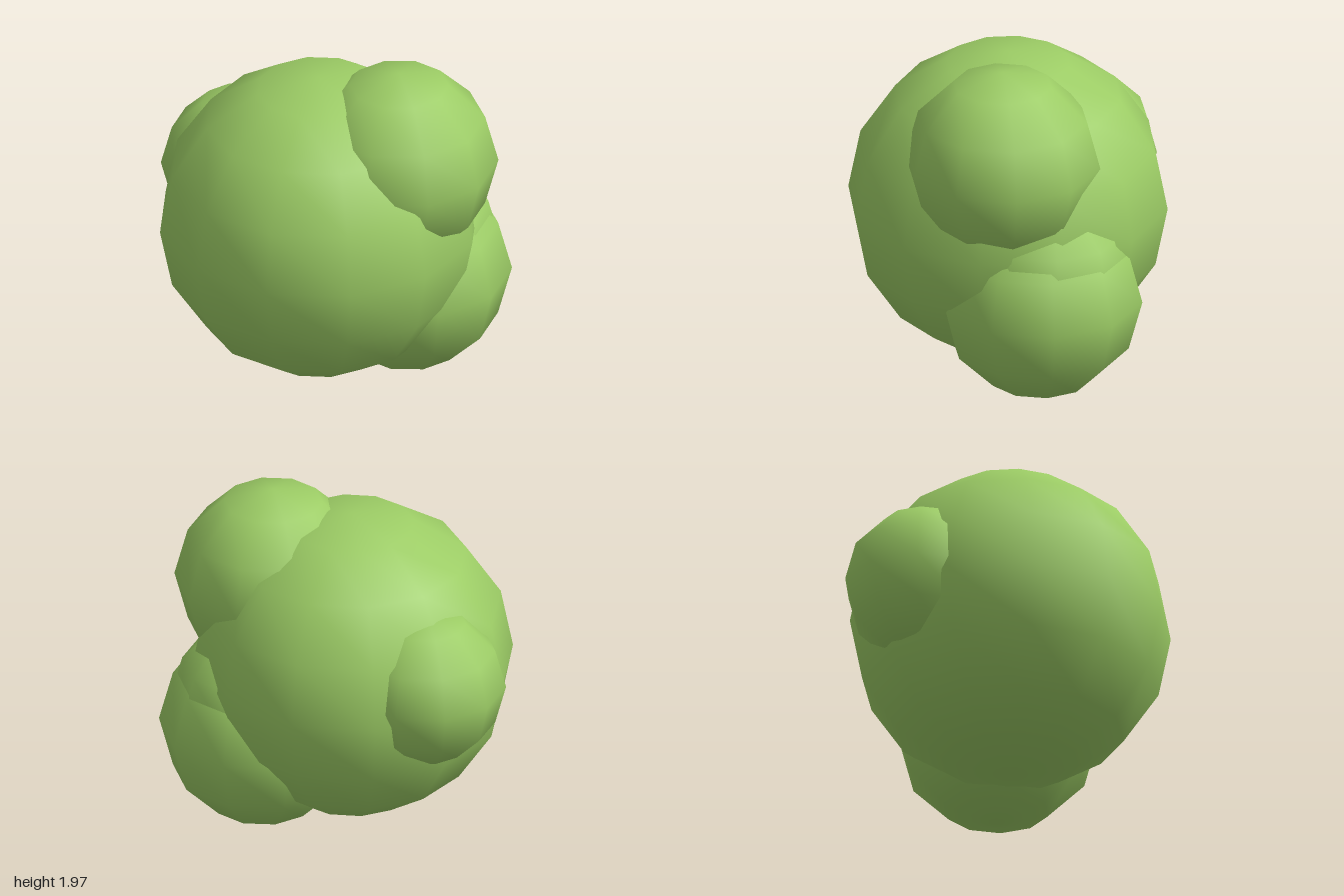
import * as THREE from 'three';

export function createModel() {
  const group = new THREE.Group();
  group.name = 'leafyCanopy';
  const material = new THREE.MeshStandardMaterial({ color: 0x9ccc65 });

  // One smooth-shaded, low-poly ball of foliage
  function addBall(name, radius, columns, rows, position, turn = 0) {
    const ball = new THREE.Mesh(new THREE.SphereGeometry(radius, columns, rows), material);
    ball.name = name;
    ball.position.set(...position);
    ball.rotation.y = turn;
    group.add(ball);
  }

  // Large central mass
  addBall('mainBall', 0.915, 12, 8, [0, 0.97, 0]);

  // Smaller clumps sunk into its sides
  const clumps = [
    ['upperLeftClump', 0.56, [0.462, 1.41, -0.05]],
    ['lowerLeftClump', 0.587, [0.442, 0.587, -0.26]],
    ['backLeftClump', 0.5, [0.45, 0.75, -0.3]],
    ['rightClump', 0.455, [-0.567, 1.05, -0.3]],
  ];
  for (const [name, radius, position] of clumps) {
    addBall(name, radius, 10, 6, position, Math.PI / 2);
  }

  return group;
}
